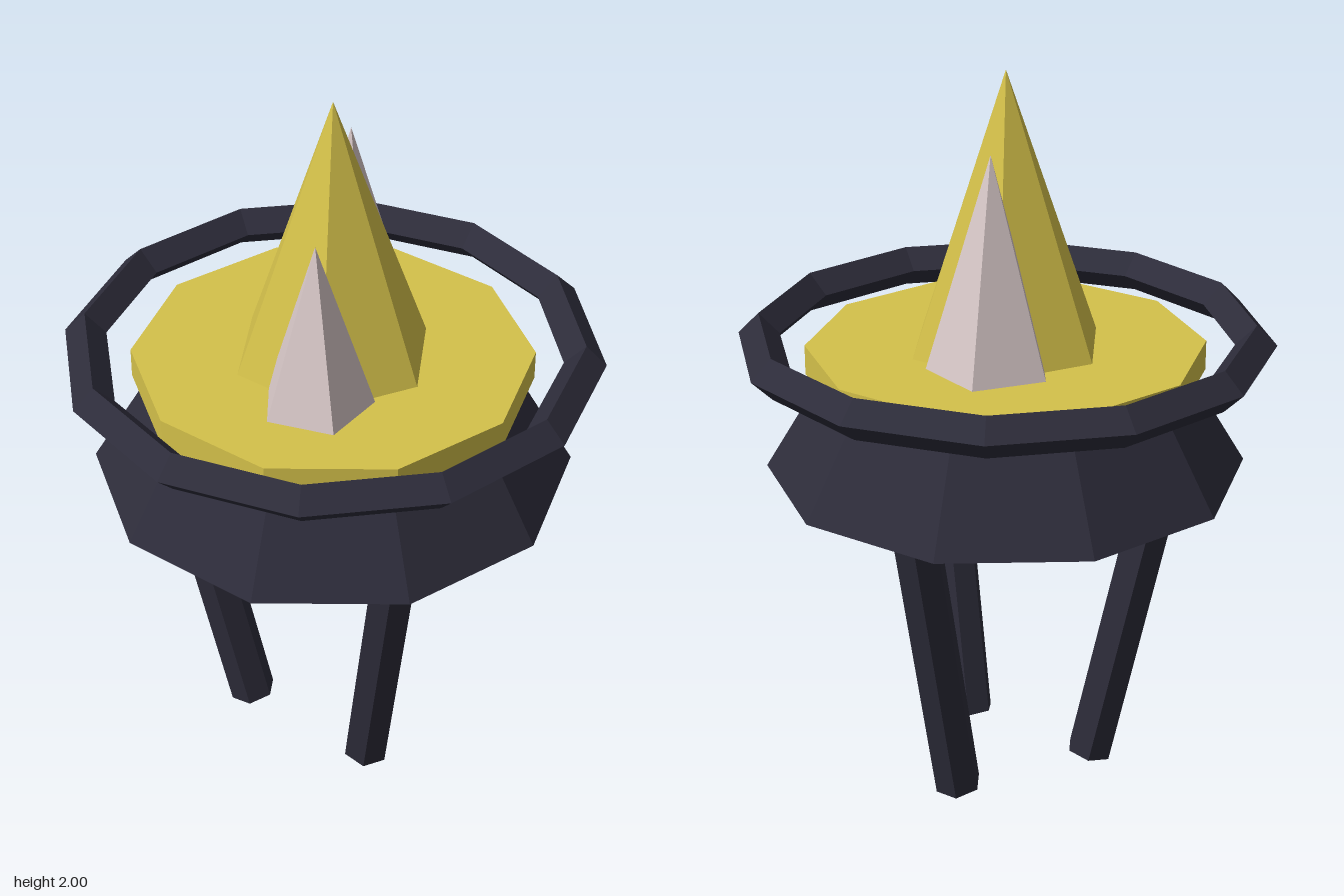
import * as THREE from 'three';

const mat = (name, color) => {
  const m = new THREE.MeshStandardMaterial({ color, flatShading: true });
  m.name = name;
  return m;
};

export function createModel() {
  const group = new THREE.Group();
  const dark = mat('darkMetal', 0x2d2c3a);
  const gold = mat('gold', 0xd4c14a);
  const pale = mat('paleCrystal', 0xd8c8c8);

  const add = (name, geometry, material, x, y, z, parent = group) => {
    const mesh = new THREE.Mesh(geometry, material);
    mesh.name = name;
    mesh.position.set(x, y, z);
    parent.add(mesh);
    return mesh;
  };

  // Heights of the stacked parts
  const baseBottom = 0.908, baseTop = 1.173, discTop = 1.255;

  // Flared ten-sided base and the disc on it
  add('base', new THREE.CylinderGeometry(0.49, 0.65, baseTop - baseBottom, 10), dark,
    0, (baseBottom + baseTop) / 2, 0);
  add('disc', new THREE.CylinderGeometry(0.537, 0.537, discTop - baseTop, 10), gold,
    0, (baseTop + discTop) / 2, 0);

  // Floating ring with a diamond section
  add('ring', new THREE.TorusGeometry(0.665, 0.056, 4, 12), dark, 0, 1.267, 0)
    .rotation.x = Math.PI / 2;

  // Pointed crystals standing on the disc
  const spike = (name, material, radius, sides, x, top, z) =>
    add(name, new THREE.ConeGeometry(radius, top - discTop, sides), material,
      x, (top + discTop) / 2, z).rotation.y = Math.PI;
  spike('mainCrystal', gold, 0.272, 6, 0, 2, 0);
  spike('tallCrystal', pale, 0.17, 5, 0.172, 1.828, -0.07);
  spike('smallCrystal', pale, 0.152, 5, -0.208, 1.722, 0.1);

  // Three splayed legs
  const foot = new THREE.Vector2(0.24, 0.013), hip = new THREE.Vector2(0.438, 0.95);
  const legGeometry = new THREE.CylinderGeometry(0.066, 0.066, foot.distanceTo(hip), 6);
  for (let i = 0; i < 3; i++) {
    const pivot = new THREE.Group();
    pivot.name = `legPivot${i + 1}`;
    pivot.rotation.y = (i * Math.PI * 2) / 3;
    group.add(pivot);
    add('leg', legGeometry, dark, (foot.x + hip.x) / 2, (foot.y + hip.y) / 2, 0, pivot)
      .rotation.z = -Math.atan2(hip.x - foot.x, hip.y - foot.y);
  }

  return group;
}
